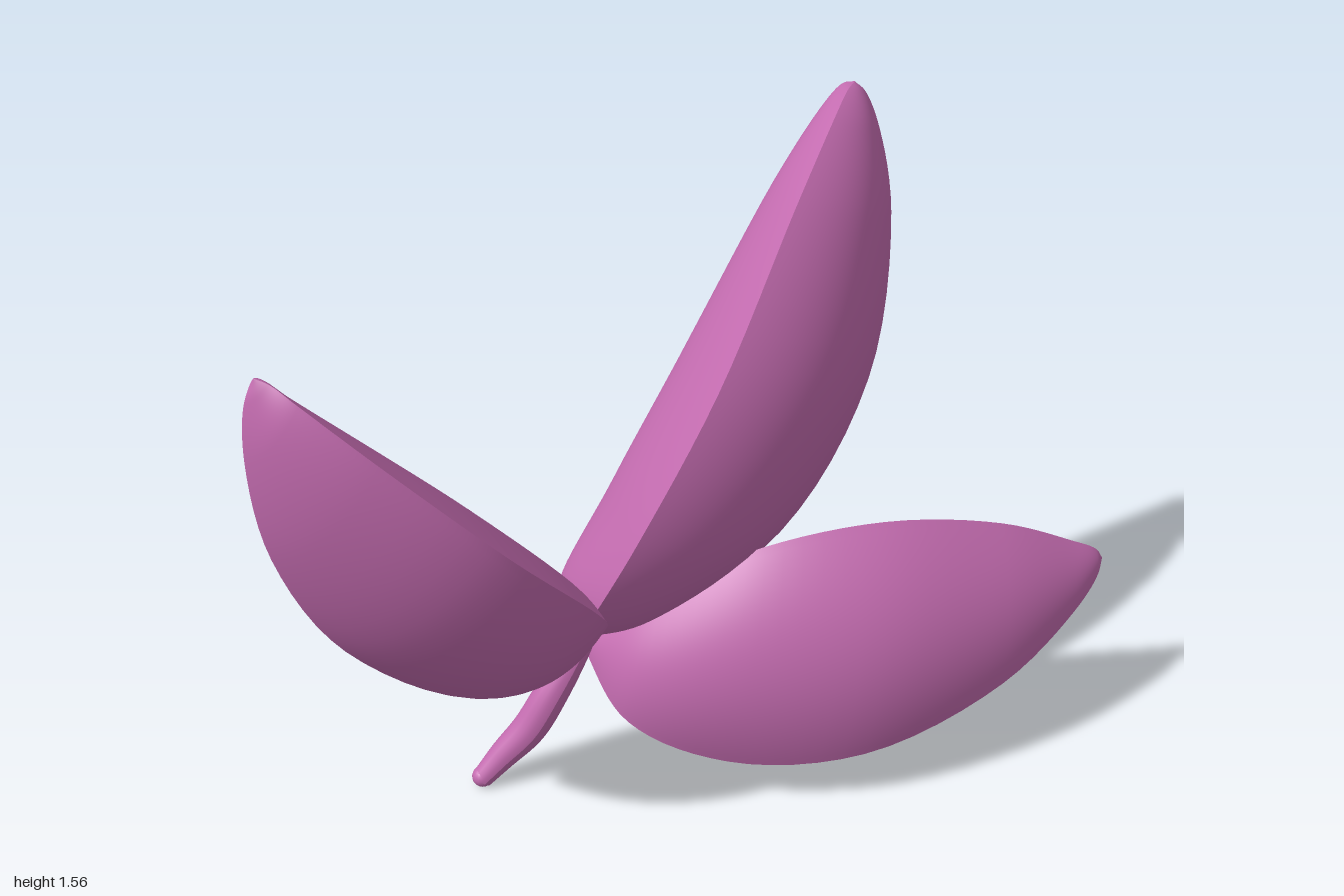
import * as THREE from 'three';
import { mergeGeometries } from 'three/addons/utils/BufferGeometryUtils.js';

const V = (p) => new THREE.Vector3(...p);
const BASE = [-0.25, 0.36, -0.135];

// One petal: two rim curves from base to tip, joined by a shallow inner and a deep outer face
function petalGeometry({ tip, rimA, rimB, inner, outer }) {
  const curve = (rim) => new THREE.CatmullRomCurve3([BASE, ...rim, tip].map(V));
  const a = curve(rimA), b = curve(rimB);
  const axis = V(tip).sub(V(BASE)).normalize();
  const sheet = (side) => {
    const geo = new THREE.PlaneGeometry(2, 1, 28, 64);
    const pos = geo.attributes.position;
    for (let i = 0; i < pos.count; i++) {
      const s = pos.getX(i) * side;
      // stations crowd towards both ends so that base and tip stay round
      const t = THREE.MathUtils.clamp(0.5 + 0.5 * Math.sin(Math.PI * pos.getY(i)), 0.0005, 0.9995);
      const pa = a.getPoint(t), pb = b.getPoint(t);
      const chord = pb.clone().sub(pa);
      const normal = chord.clone().cross(axis).normalize();
      // the outer face is relatively fuller near both ends
      const depth = side > 0 ? inner : -outer * (1 + 0.45 * (2 * t - 1) ** 4);
      const p = pa.lerp(pb, (s + 1) / 2).addScaledVector(normal, depth * chord.length() * (1 - s * s));
      pos.setXYZ(i, p.x, p.y, p.z);
    }
    geo.computeVertexNormals();
    return geo;
  };
  return mergeGeometries([sheet(1), sheet(-1)]);
}

const PETALS = {
  tallPetal: {
    tip: [0.49, 1.56, -0.275], inner: 0.15, outer: 0.51,
    rimA: [[-0.29, 0.56, 0.07], [-0.21, 0.79, 0.155], [-0.015, 1.095, 0.13], [0.23, 1.4, -0.03],
      [0.38, 1.525, -0.16], [0.455, 1.557, -0.24]],
    rimB: [[-0.05, 0.42, -0.1], [0.25, 0.6, -0.065], [0.46, 0.92, -0.09], [0.54, 1.28, -0.17],
      [0.535, 1.46, -0.235], [0.515, 1.535, -0.27]],
  },
  leftPetal: {
    tip: [0.995, 0.42, 0.14], inner: 0.15, outer: 0.45,
    rimA: [[-0.1, 0.52, -0.02], [0.12, 0.645, 0.08], [0.4, 0.67, 0.13], [0.7, 0.595, 0.14],
      [0.9, 0.495, 0.14], [0.975, 0.45, 0.14]],
    rimB: [[-0.2, 0.22, 0.03], [0, 0.13, 0.16], [0.3, 0.142, 0.275], [0.65, 0.24, 0.28],
      [0.88, 0.345, 0.215], [0.97, 0.393, 0.165]],
  },
  rightPetal: {
    tip: [-0.965, 1.327, 0.1], inner: 0.15, outer: 0.45,
    rimA: [[-0.38, 0.31, -0.1], [-0.57, 0.36, -0.03], [-0.83, 0.59, 0.01], [-0.965, 0.88, 0.05],
      [-1.0, 1.14, 0.085], [-0.988, 1.275, 0.095]],
    rimB: [[-0.25, 0.5, 0.04], [-0.32, 0.66, 0.2], [-0.54, 0.92, 0.295], [-0.77, 1.16, 0.245],
      [-0.9, 1.285, 0.165], [-0.94, 1.317, 0.12]],
  },
};

// Bent stem, thinner at the foot and the top
function stemGeometry() {
  const path = new THREE.CatmullRomCurve3([[-0.505, 0.02, -0.14], [-0.45, 0.075, -0.137],
    [-0.385, 0.145, -0.125], [-0.325, 0.245, -0.115], [-0.24, 0.38, -0.11]].map(V));
  const rings = 40, sides = 16;
  const geo = new THREE.TubeGeometry(path, rings, 0.042, sides);
  const pos = geo.attributes.position;
  for (let i = 0; i < pos.count; i++) {
    const t = Math.floor(i / (sides + 1)) / rings;
    const taper = 0.6 + 0.4 * Math.sin(Math.PI * Math.min(1, t));
    const c = path.getPointAt(t);
    const p = new THREE.Vector3().fromBufferAttribute(pos, i).sub(c).multiplyScalar(taper).add(c);
    pos.setXYZ(i, p.x, Math.max(0, p.y), p.z);
  }
  geo.computeVertexNormals();
  return geo;
}

export function createModel() {
  const group = new THREE.Group();
  const material = new THREE.MeshStandardMaterial({ color: 0xc46cb0 });
  const add = (name, geo) => {
    const mesh = new THREE.Mesh(geo, material);
    mesh.name = name;
    group.add(mesh);
    return mesh;
  };
  for (const [name, spec] of Object.entries(PETALS)) add(name, petalGeometry(spec));
  add('stem', stemGeometry());
  // Rounded foot of the stem
  add('stemFoot', new THREE.SphereGeometry(0.0255, 16, 12)).position.set(-0.502, 0.0255, -0.14);
  return group;
}
